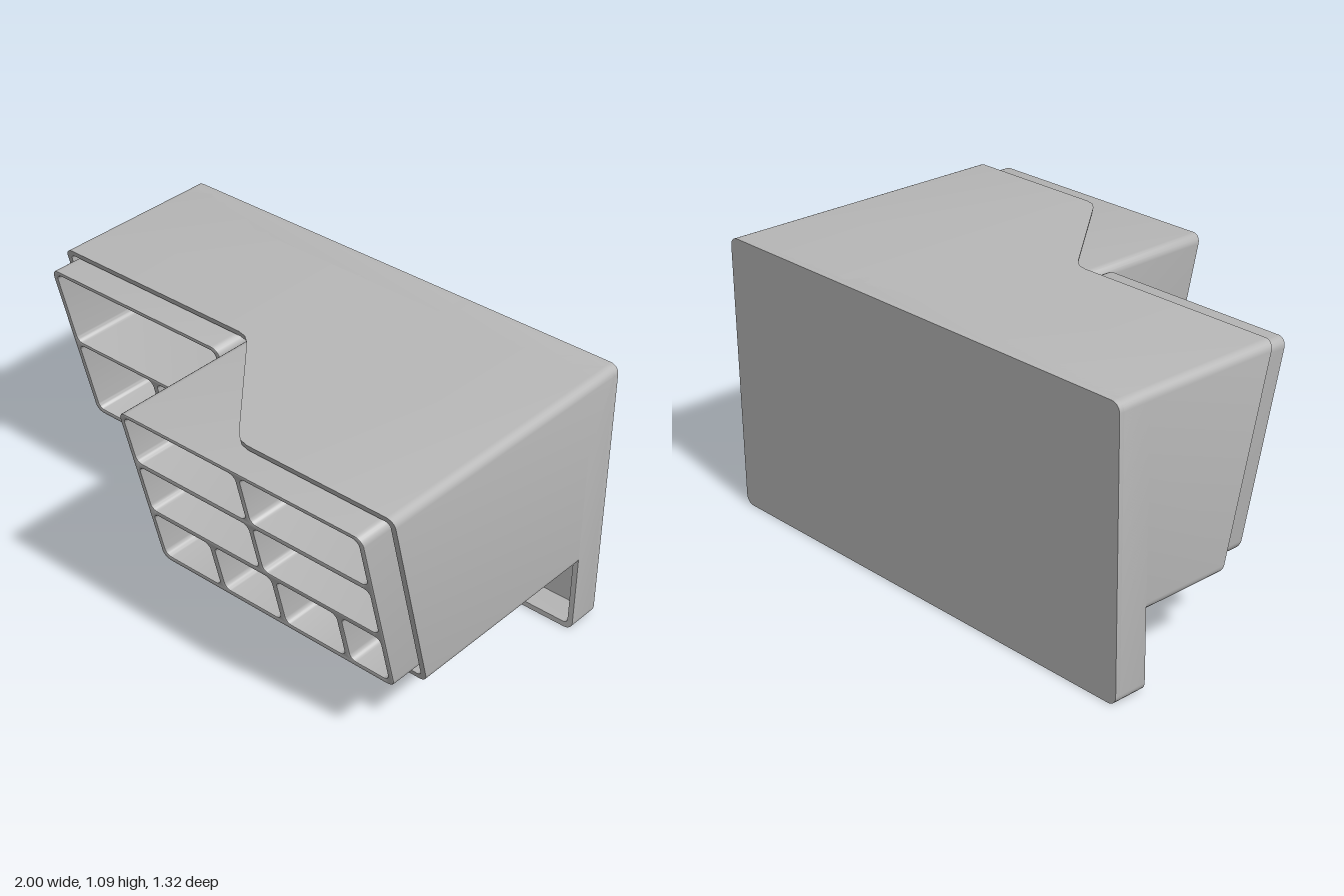
import * as THREE from 'three';
import { toCreasedNormals } from 'three/addons/utils/BufferGeometryUtils.js';

const SLOPE = 0.268; // backward lean of every front face
const TOP = 1.09, BOTTOM = 0.3, BACK = -0.66, WALL = 0.022;
// front edge of the housing in plan: shallow bay, diagonal step, deep bay
const STEP = [[-0.12, 0.05], [-0.085, 0.058], [-0.05, 0.085], [0.31, 0.515], [0.34, 0.54], [0.38, 0.55]];

function frontZ(x) {
  if (x <= STEP[0][0]) return STEP[0][1];
  for (let i = 1; i < STEP.length; i++) {
    const [x0, z0] = STEP[i - 1], [x1, z1] = STEP[i];
    if (x <= x1) return z0 + (z1 - z0) * (x - x0) / (x1 - x0);
  }
  return STEP[STEP.length - 1][1];
}

// counter-clockwise rounded rectangle, with optional extra points on the long edges
function roundedRect(x0, x1, y0, y1, r, breaks = []) {
  const pts = [];
  const corner = (cx, cy, start) => {
    for (let i = 0; i <= 6; i++) {
      const a = start + (i / 6) * Math.PI / 2;
      pts.push(new THREE.Vector2(cx + r * Math.cos(a), cy + r * Math.sin(a)));
    }
  };
  corner(x0 + r, y0 + r, Math.PI);
  breaks.forEach(x => pts.push(new THREE.Vector2(x, y0)));
  corner(x1 - r, y0 + r, Math.PI * 1.5);
  corner(x1 - r, y1 - r, 0);
  [...breaks].reverse().forEach(x => pts.push(new THREE.Vector2(x, y1)));
  corner(x0 + r, y1 - r, Math.PI / 2);
  return pts;
}

// rounded slab from zBack to zFront with rounded openings; bevel softens its edges
function slab(outline, openings, zBack, zFront, bevel = 0) {
  const shape = new THREE.Shape(outline);
  openings.forEach(o => shape.holes.push(new THREE.Path(o)));
  const geo = new THREE.ExtrudeGeometry(shape, {
    depth: zFront - zBack - 2 * bevel, bevelEnabled: bevel > 0,
    bevelThickness: bevel, bevelSize: bevel, bevelOffset: -bevel, bevelSegments: 2,
  });
  return geo.translate(0, 0, zBack + bevel);
}

// open sleeve lofted through rings: outside, front rim, inside
function housingGeometry() {
  const breaks = STEP.map(p => p[0]);
  const outer = roundedRect(-1, 1, BOTTOM, TOP, 0.035, breaks);
  const inner = roundedRect(-1 + WALL, 1 - WALL, BOTTOM + WALL, TOP - WALL, 0.02, breaks);
  const lean = p => frontZ(p.x) + (p.y - TOP) * SLOPE;
  const back = () => BACK + 0.02;
  const rings = [[outer, back], [outer, lean], [inner, lean], [inner, back]];
  const n = outer.length, pos = [], idx = [];
  rings.forEach(([pts, z]) => pts.forEach(p => pos.push(p.x, p.y, z(p))));
  for (let k = 0; k < rings.length - 1; k++) {
    for (let i = 0; i < n; i++) {
      const j = (i + 1) % n, a = k * n, b = a + n;
      idx.push(a + i, a + j, b + j, a + i, b + j, b + i);
    }
  }
  const geo = new THREE.BufferGeometry();
  geo.setAttribute('position', new THREE.Float32BufferAttribute(pos, 3));
  geo.setIndex(idx);
  return geo;
}

// cells are [x0, x1, y0, y1]
const LEFT_CELLS = [
  [-0.945, -0.145, 0.71, 1.04], [-0.945, -0.56, 0.36, 0.69], [-0.535, -0.145, 0.36, 0.69],
];
const RIGHT_CELLS = [
  [0.2, 0.46, 0.36, 0.57], [-0.09, 0.175, 0.36, 0.57], [0.485, 0.75, 0.36, 0.57], [0.775, 0.94, 0.36, 0.57],
];
for (const [y0, y1] of [[0.595, 0.805], [0.83, 1.04]]) {
  RIGHT_CELLS.push([-0.09, 0.415, y0, y1], [0.437, 0.94, y0, y1]);
}

export function createModel() {
  const group = new THREE.Group();
  const grey = new THREE.MeshStandardMaterial({ color: 0xb8b8b8 });
  grey.name = 'plain grey';
  const add = (name, geo, parent = group) => {
    const mesh = new THREE.Mesh(toCreasedNormals(geo, 0.6), grey);
    mesh.name = name;
    parent.add(mesh);
  };

  // mounting back: closed panel and a raised rim
  const backOutline = roundedRect(-1, 1, 0, TOP, 0.035);
  add('backPanel', slab(backOutline, [], BACK, BACK + 0.02));
  const rimHole = roundedRect(-1 + WALL, 1 - WALL, WALL, TOP - WALL, 0.02);
  add('backRim', slab(backOutline, [rimHole], BACK + 0.02, -0.525));

  // stepped outer housing
  add('housing', housingGeometry());

  // compartment inserts with leaning fronts
  const insert = (name, x0, x1, zTop, cells) => {
    const part = new THREE.Group();
    part.name = name;
    const zBack = -0.62, y0 = 0.335, y1 = 1.06;
    const holes = cells.map(c => roundedRect(...c, 0.025));
    const geo = slab(roundedRect(x0, x1, y0, y1, 0.035), holes, zBack, zTop, 0.006);
    const p = geo.attributes.position;
    for (let i = 0; i < p.count; i++) {
      if (p.getZ(i) > zBack + 0.1) p.setZ(i, p.getZ(i) + (p.getY(i) - y1) * SLOPE);
    }
    add('compartmentWalls', geo, part);
    add('compartmentBack', slab(roundedRect(x0, x1, y0, y1, 0.035), [], zBack - 0.015, zBack + 0.01), part);
    group.add(part);
  };
  insert('shallowInsert', -0.967, -0.122, 0.157, LEFT_CELLS);
  insert('deepInsert', -0.11, 0.963, 0.66, RIGHT_CELLS);

  return group;
}
